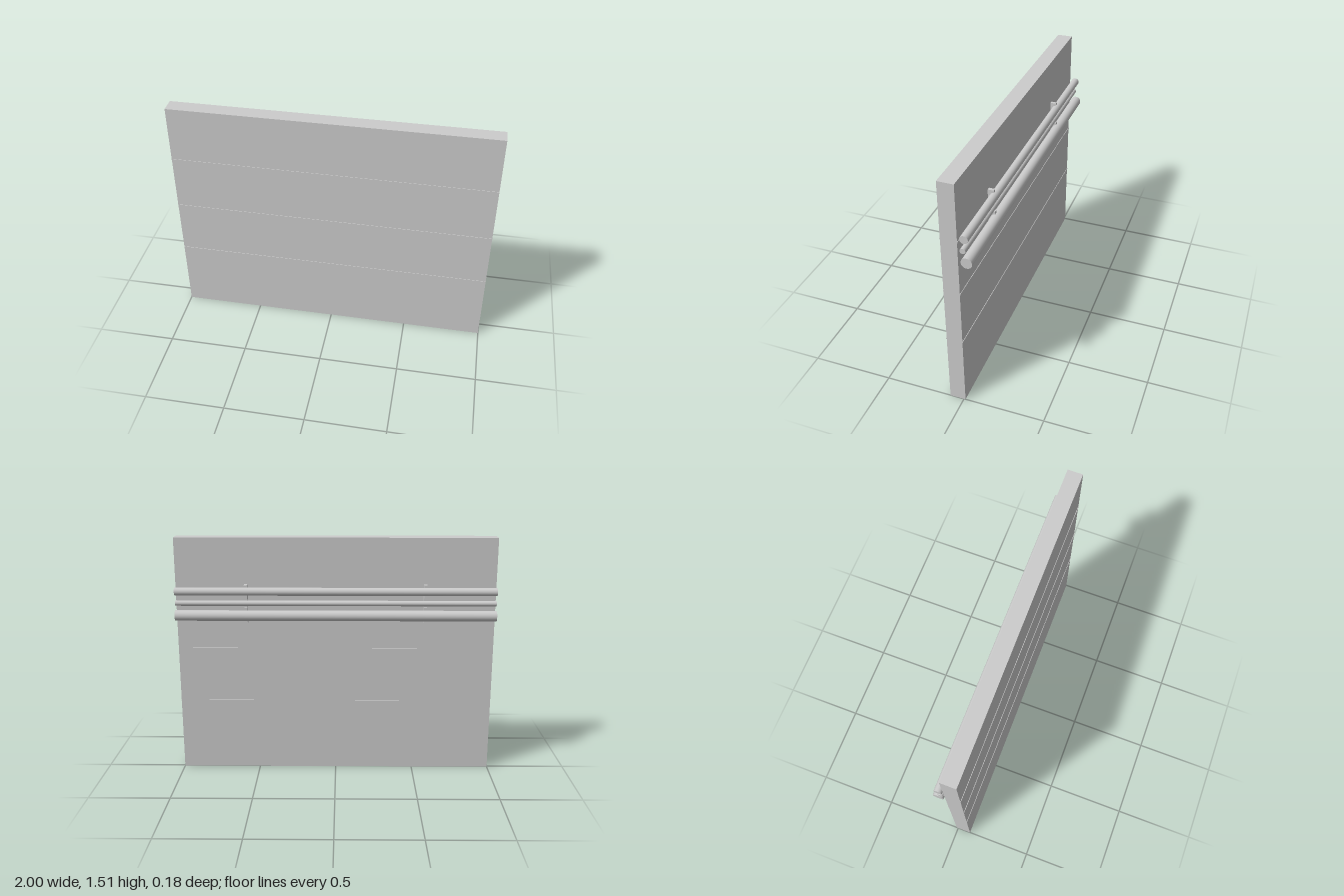
import * as THREE from 'three';

const material = new THREE.MeshStandardMaterial({ color: 0xcccccc });

function addMesh(parent, name, geometry, x, y, z) {
  const mesh = new THREE.Mesh(geometry, material);
  mesh.name = name;
  mesh.position.set(x, y, z);
  parent.add(mesh);
  return mesh;
}

const PANEL_BACK = 0.01; // distance of the panel's back face behind the origin
const BRACKET_WIDTH = 0.02;

// Each rail runs along x; its saddle spans bottom..top and reaches back to depth
const rails = [
  { name: 'upperRail', y: 1.185, back: 0.047, radius: 0.025, bottom: 1.143, top: 1.225, depth: 0.047 },
  { name: 'middleRail', y: 1.11, back: 0.038, radius: 0.017, bottom: 1.085, top: 1.143, depth: 0.042 },
  { name: 'lowerRail', y: 1.035, back: 0.057, radius: 0.033, bottom: 0.985, top: 1.085, depth: 0.052 },
];

// Block with a round notch that cradles the rail
function saddleGeometry({ y, back, radius, bottom, top, depth }) {
  const a = Math.acos((back - depth) / radius);
  const shape = new THREE.Shape();
  shape.moveTo(PANEL_BACK, bottom);
  shape.lineTo(depth, bottom);
  shape.lineTo(depth, y - radius * Math.sin(a));
  shape.absarc(back, y, radius, Math.PI + a, Math.PI - a, true);
  shape.lineTo(depth, top);
  shape.lineTo(PANEL_BACK, top);
  const geometry = new THREE.ExtrudeGeometry(shape, {
    depth: BRACKET_WIDTH, bevelEnabled: false, curveSegments: 16,
  });
  geometry.translate(0, 0, -BRACKET_WIDTH / 2);
  return geometry.rotateY(Math.PI / 2);
}

export function createModel() {
  const model = new THREE.Group();
  model.name = 'wallPanelWithRails';

  // Upright panel
  addMesh(model, 'panel', new THREE.BoxGeometry(2, 1.515, 0.097), 0, 0.7575, 0.0385);

  // Thin seams standing slightly proud of both faces
  for (const y of [0.46, 0.81, 1.16]) {
    addMesh(model, 'seamStrip', new THREE.BoxGeometry(2, 0.007, 0.103), 0, y, 0.0385);
  }

  // Round rails across the back
  for (const rail of rails) {
    const geometry = new THREE.CylinderGeometry(rail.radius, rail.radius, 2, 32);
    geometry.rotateZ(Math.PI / 2);
    addMesh(model, rail.name, geometry, 0, rail.y, -rail.back);
  }

  // Two brackets, each a stack of three saddles
  for (const x of [-0.56, 0.56]) {
    const bracket = new THREE.Group();
    bracket.name = x > 0 ? 'leftBracket' : 'rightBracket';
    bracket.position.x = x;
    for (const rail of rails) addMesh(bracket, 'saddle', saddleGeometry(rail), 0, 0, 0);
    model.add(bracket);
  }

  return model;
}
